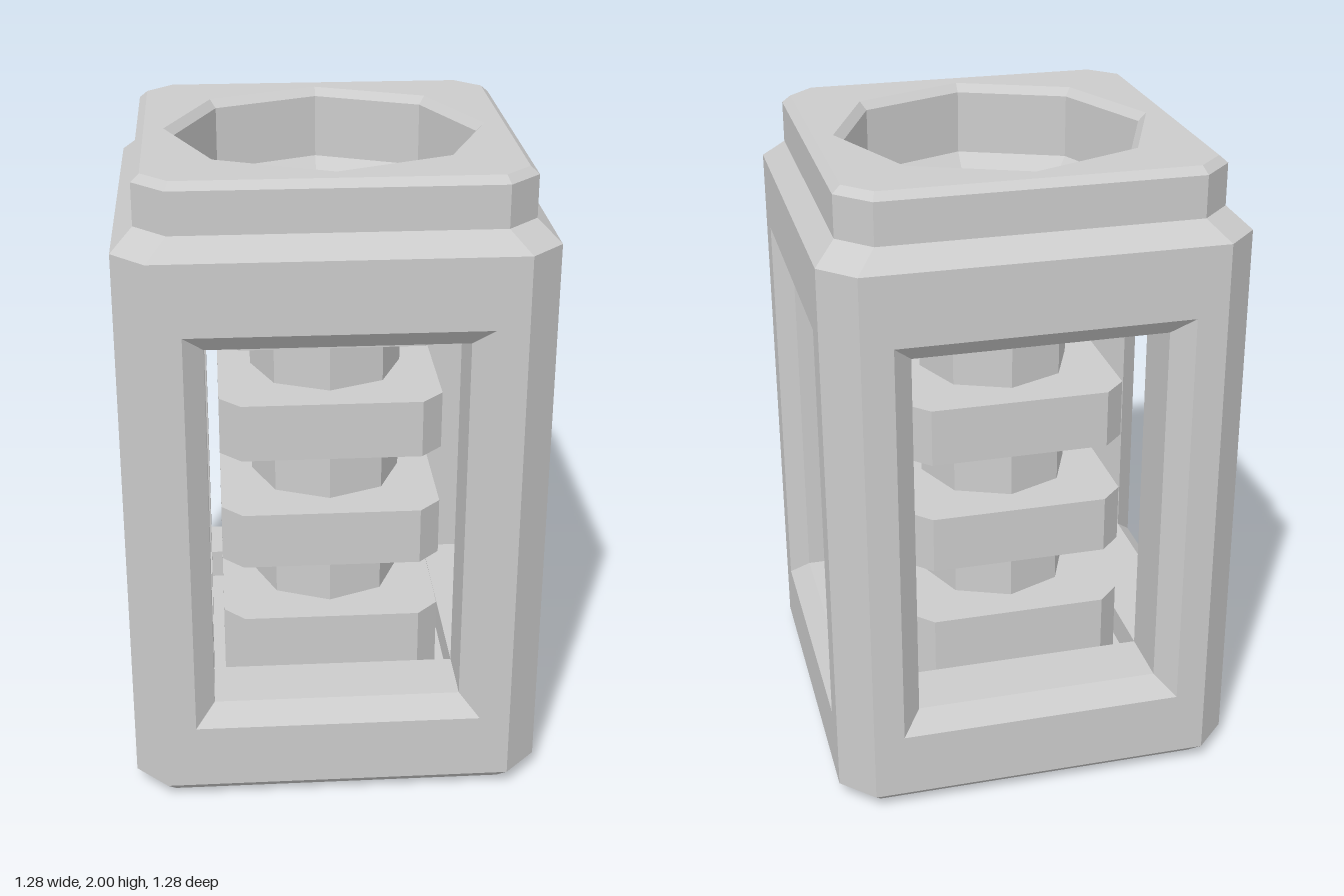
import * as THREE from 'three';
import { mergeGeometries } from 'three/addons/utils/BufferGeometryUtils.js';

const material = new THREE.MeshStandardMaterial({ color: 0xcccccc, flatShading: true });

// Square outline with cut corners, counter-clockwise seen from above
function ring(half, edge, y) {
  const pts = [];
  for (let i = 0; i < 4; i++) {
    const c = Math.round(Math.cos(i * Math.PI / 2)), s = Math.round(Math.sin(i * Math.PI / 2));
    for (const side of [-edge, edge])
      pts.push(new THREE.Vector3(half * c - side * s, y, -(half * s + side * c)));
  }
  return pts;
}

// Octagon with its corners on the axes
function octagon(radius, y) {
  return Array.from({ length: 8 }, (_, i) => new THREE.Vector3(
    radius * Math.cos(i * Math.PI / 4), y, -radius * Math.sin(i * Math.PI / 4)));
}

// Upright rectangle facing +z
function rect(half, y0, y1, z) {
  return [[-half, y0], [half, y0], [half, y1], [-half, y1]].map(([x, y]) => new THREE.Vector3(x, y, z));
}

// Joins successive rings with quads; optionally closes the last one
function loft(rings, closeEnd = false) {
  const tris = [];
  for (let r = 0; r + 1 < rings.length; r++) {
    const a = rings[r], b = rings[r + 1];
    a.forEach((p, i) => {
      const j = (i + 1) % a.length;
      tris.push(p, a[j], b[j], p, b[j], b[i]);
    });
  }
  const end = rings[rings.length - 1];
  if (closeEnd) for (let i = 1; i + 1 < end.length; i++) tris.push(end[0], end[i], end[i + 1]);
  const geo = new THREE.BufferGeometry().setFromPoints(tris);
  geo.computeVertexNormals();
  return geo;
}

// Flat plate with a hole, facing +z
function plate(outline, hole) {
  const shape = new THREE.Shape(outline);
  shape.holes.push(new THREE.Path(hole));
  const geo = new THREE.ShapeGeometry(shape).toNonIndexed();
  geo.deleteAttribute('uv');
  return geo;
}

const flat = p => new THREE.Vector2(p.x, p.y);
const fromAbove = p => new THREE.Vector2(p.x, -p.z);

function solid(rings) {
  return mergeGeometries([loft(rings, true), loft([[...rings[0]].reverse()], true)]);
}

export function createModel() {
  const model = new THREE.Group();
  const add = (name, geo, parent = model) => {
    const mesh = new THREE.Mesh(geo, material);
    mesh.name = name;
    parent.add(mesh);
    return mesh;
  };

  const H = 0.64, E = 0.54, Y0 = 0.05, Y1 = 1.79;   // body
  const W = 0.385, S0 = 0.32, S1 = 1.51;            // window opening
  const F = 0.22, C = 1.61;                         // chamber floor and ceiling

  // Four window walls, each with its bevelled reveal and a corner strip
  const wall = mergeGeometries([
    plate(rect(E, Y0, Y1, H).map(flat), rect(0.445, 0.26, 1.57, H).map(flat)).translate(0, 0, H),
    loft([rect(0.445, 0.26, 1.57, H), rect(W, S0, S1, 0.58), rect(W, S0, S1, W)]),
  ]);
  const v = (x, y, z) => new THREE.Vector3(x, y, z);
  const strip = loft([[v(E, Y0, H), v(H, Y0, E), v(H, Y1, E), v(E, Y1, H)]], true);
  for (let i = 0; i < 4; i++) {
    const side = new THREE.Group();
    side.name = 'side';
    side.rotation.y = i * Math.PI / 2;
    add('windowWall', wall, side);
    add('cornerStrip', strip, side);
    model.add(side);
  }

  // Bevelled underside
  add('base', loft([ring(H, E, Y0).reverse(), ring(0.585, 0.517, 0).reverse()], true));

  // Shoulder and raised cap
  add('cap', loft([
    ring(H, E, Y1), ring(0.575, 0.48, 1.85), ring(0.575, 0.48, 1.978), ring(0.55, 0.47, 2),
  ]));
  add('capTop', plate(ring(0.55, 0.47, 0).map(fromAbove), octagon(0.49, 0).map(fromAbove))
    .rotateX(-Math.PI / 2).translate(0, 2, 0));

  // Eight-sided bowl sunk into the cap
  add('bowl', loft([octagon(0.49, 2), octagon(0.465, 1.975), octagon(0.465, 1.775), octagon(0.37, 1.68)], true));

  // Chamber recesses below and above the windows
  add('chamberFloor', loft([ring(W, W, S0), ring(W, W, F)], true));
  add('chamberCeiling', loft([ring(W, W, S1).reverse(), ring(W, W, C).reverse()], true));

  // Ribbed central column
  add('columnCore', solid([octagon(0.242, F), octagon(0.242, C)]));
  for (const [y0, y1] of [[F, 0.475], [0.665, 0.85], [1.04, 1.225], [1.41, C]])
    add('columnRib', solid([ring(0.347, 0.28, y0), ring(0.347, 0.28, y1)]));

  return model;
}
